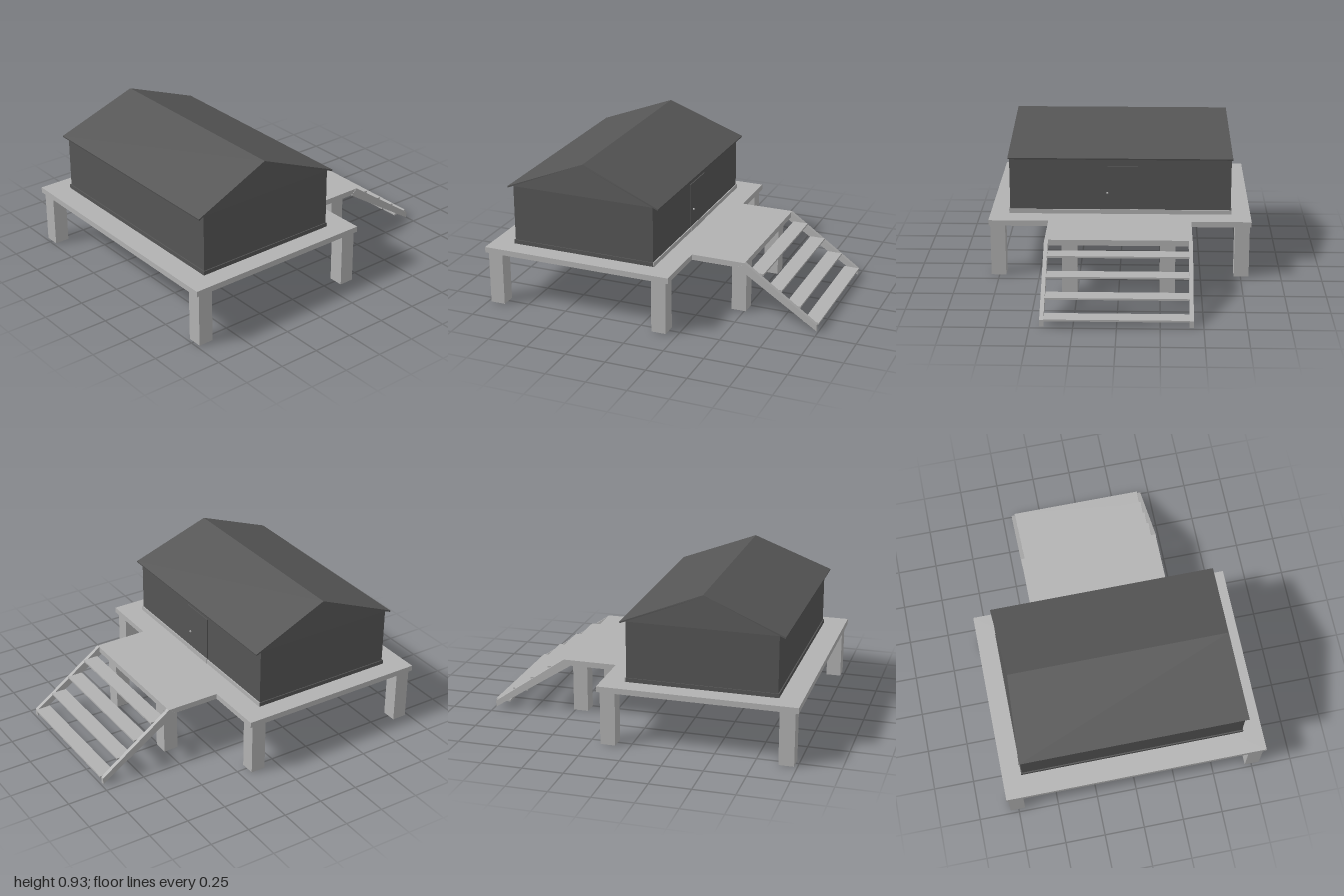
import * as THREE from 'three';

const timber = new THREE.MeshStandardMaterial({ color: 0xb2b2b2 });
timber.name = 'pale timber';
const cladding = new THREE.MeshStandardMaterial({ color: 0x555555 });
cladding.name = 'dark cladding';

export function createModel() {
  const model = new THREE.Group();
  model.name = 'stiltCabin';

  const add = (name, geometry, material) => {
    const mesh = new THREE.Mesh(geometry, material);
    mesh.name = name;
    model.add(mesh);
    return mesh;
  };
  // Box given by its limits on each axis
  const box = (name, material, [x0, x1], [y0, y1], [z0, z1]) => {
    const mesh = add(name, new THREE.BoxGeometry(x1 - x0, y1 - y0, z1 - z0), material);
    mesh.position.set((x0 + x1) / 2, (y0 + y1) / 2, (z0 + z1) / 2);
    return mesh;
  };
  // Outline in x and y, extruded between two z values
  const prism = (points, z0, z1) => {
    const shape = new THREE.Shape(points.map(([x, y]) => new THREE.Vector2(x, y)));
    return new THREE.ExtrudeGeometry(shape, { depth: z1 - z0, bevelEnabled: false }).translate(0, 0, z0);
  };
  // Lean the gable ends inwards towards the ridge
  const leanEnds = (geometry, halfLength) => {
    const p = geometry.attributes.position;
    for (let i = 0; i < p.count; i++) {
      const rise = Math.max(0, (p.getY(i) - 0.735) / 0.195);
      p.setZ(i, Math.sign(p.getZ(i)) * (halfLength - 0.03 * rise));
    }
    geometry.computeVertexNormals();
    return geometry;
  };

  // T-shaped deck in one piece
  const deck = prism([
    [-1, -0.81], [0.2, -0.81], [0.2, -0.44], [0.535, -0.44],
    [0.535, 0.44], [0.2, 0.44], [0.2, 0.81], [-1, 0.81],
  ], 0, 0.035);
  deck.rotateX(-Math.PI / 2).translate(0, 0.33, 0);
  add('deck', deck, timber);

  // Posts, stair stringers
  for (const side of [-1, 1]) {
    for (const [x, z] of [[-0.935, 0.755], [0.135, 0.755], [0.465, 0.293]]) {
      box('post', timber, [x - 0.046, x + 0.046], [0, 0.33], [side * z - 0.046, side * z + 0.046]);
    }
    const z = side * 0.43;
    add('stairStringer', prism(
      [[0.49, 0.33], [0.99, 0.005], [0.99, 0.045], [0.535, 0.365]], z - 0.012, z + 0.012), timber);
  }

  // Open treads
  for (let i = 0; i < 4; i++) {
    const x = 0.553 + i * 0.1165, y = 0.294 - i * 0.0845;
    box('stairTread', timber, [x, x + 0.095], [y, y + 0.011], [-0.42, 0.42]);
  }

  // Cabin body, base trim and gables
  box('walls', cladding, [-0.855, 0.055], [0.365, 0.74], [-0.687, 0.687]);
  box('baseTrim', cladding, [-0.862, 0.058], [0.365, 0.39], [-0.693, 0.693]);
  box('sideTrim', timber, [0.056, 0.063], [0.365, 0.392], [-0.693, 0.693]);
  add('gables', leanEnds(prism([[-0.865, 0.737], [0.065, 0.737], [-0.4, 0.92]], -1, 1), 0.688), cladding);

  // Thin pitched roof with overhanging eaves
  add('roof', leanEnds(prism([
    [-0.89, 0.725], [-0.4, 0.919], [0.09, 0.725], [0.092, 0.734], [-0.4, 0.93], [-0.892, 0.734],
  ], -1, 1), 0.694), cladding);

  // Door, threshold and handle on the stair side
  box('door', cladding, [0.054, 0.061], [0.39, 0.675], [-0.11, 0.12]);
  box('threshold', timber, [0.056, 0.066], [0.365, 0.397], [-0.11, 0.12]);
  const knob = add('doorKnob', new THREE.SphereGeometry(0.007, 12, 8), timber);
  knob.position.set(0.065, 0.502, 0.08);

  return model;
}
